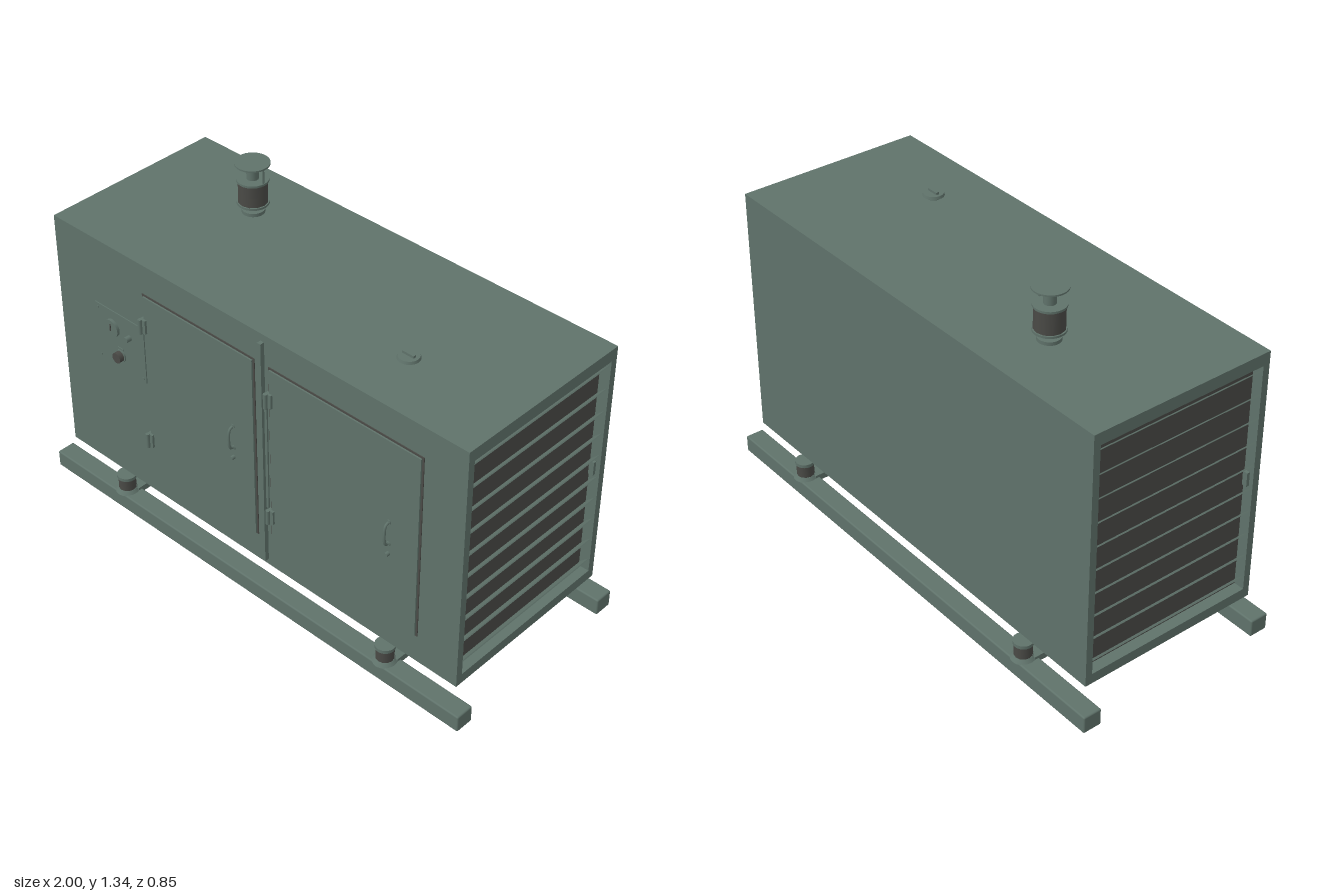
import * as THREE from 'three';
import { RoundedBoxGeometry } from 'three/addons/geometries/RoundedBoxGeometry.js';

export function createModel() {
  const model = new THREE.Group();
  model.name = 'generator';
  const mat = (name, color) => {
    const m = new THREE.MeshStandardMaterial({ color });
    m.name = name;
    return m;
  };
  const green = mat('greenPaint', 0x5f726a);
  const dark = mat('darkMetal', 0x4a4a46);

  const add = (name, geo, m, x, y, z, parent = model) => {
    const mesh = new THREE.Mesh(geo, m);
    mesh.name = name;
    mesh.position.set(x, y, z);
    parent.add(mesh);
    return mesh;
  };
  const box = (name, m, x0, x1, y0, y1, z0, z1, parent) =>
    add(name, new THREE.BoxGeometry(x1 - x0, y1 - y0, z1 - z0), m,
      (x0 + x1) / 2, (y0 + y1) / 2, (z0 + z1) / 2, parent);
  // Upright cylinder between two heights
  const post = (name, m, r, x, y0, y1, z, sides = 20, rTop = r) =>
    add(name, new THREE.CylinderGeometry(rTop, r, y1 - y0, sides), m, x, (y0 + y1) / 2, z);
  // Cylinder facing the front
  const dial = (name, m, r, x, y, z0, z1, sides = 20) => {
    const d = add(name, new THREE.CylinderGeometry(r, r, z1 - z0, sides), m, x, y, (z0 + z1) / 2);
    d.rotation.x = Math.PI / 2;
    return d;
  };

  // Housing: a sleeve running along x, open at both ends
  const half = 0.947, front = 0.367;
  const outline = new THREE.Shape();
  outline.moveTo(-front, 0.14).lineTo(front, 0.14).lineTo(front, 1.137).lineTo(-front, 1.137).closePath();
  const opening = new THREE.Path();
  opening.moveTo(-0.34, 0.18).lineTo(-0.34, 1.09).lineTo(0.34, 1.09).lineTo(0.34, 0.18).closePath();
  outline.holes.push(opening);
  const sleeve = new THREE.ExtrudeGeometry(outline, { depth: half * 2, bevelEnabled: false });
  sleeve.translate(0, 0, -half).rotateY(Math.PI / 2);
  add('housing', sleeve, green, 0, 0, 0);

  // Louvred ends
  for (const s of [-1, 1]) {
    const end = new THREE.Group();
    end.name = 'louvres';
    model.add(end);
    add('radiatorPanel', new THREE.BoxGeometry(0.01, 0.91, 0.68), dark, s * 0.9, 0.635, 0, end);
    for (let i = 0; i < 10; i++) {
      const slat = add('slat', new THREE.BoxGeometry(0.004, 0.044, 0.68), green,
        s * 0.926, 0.216 + i * 0.0932, 0, end);
      slat.rotation.z = -s * 0.78;
    }
    for (const t of [-1, 1])
      add('louvreTab', new THREE.BoxGeometry(0.02, 0.055, 0.012), green, s * 0.92, 0.637, t * 0.334, end);
  }

  // Skids, cross members and rubber mounts
  for (const s of [-1, 1]) {
    add('skid', new RoundedBoxGeometry(2, 0.068, 0.074, 2, 0.006), green, 0, 0.034, s * 0.378);
    const cx = s * 0.645;
    box('crossMember', green, cx - 0.04, cx + 0.04, 0.053, 0.078, -0.36, 0.36);
    for (const z of [-0.378, 0.378]) {
      post('mountPad', green, 0.046, cx, 0.066, 0.08, z, 20, 0.034);
      post('mount', dark, 0.033, cx, 0.08, 0.13, z, 12);
      post('mountCap', green, 0.037, cx, 0.128, 0.141, z);
    }
  }

  // Doors with seal, hinges, handle and lock
  const door = (x0, x1, handleX) => {
    box('doorSeal', dark, x0, x1, 0.255, 1.02, front - 0.005, front + 0.003);
    box('door', green, x0 + 0.007, x1 - 0.007, 0.262, 1.013, front, 0.376);
    for (const y of [0.387, 0.892]) {
      box('hingeLeaf', green, x0 - 0.005, x0 + 0.022, y - 0.028, y + 0.028, front, 0.385);
      const pin = post('hingePin', green, 0.008, x0 + 0.002, y - 0.03, y + 0.03, 0.389, 10);
      pin.name = 'hingePin';
    }
    const grip = new THREE.CatmullRomCurve3([
      [0.592, 0.372], [0.597, 0.39], [0.61, 0.396], [0.667, 0.396], [0.68, 0.39], [0.685, 0.372],
    ].map(([y, z]) => new THREE.Vector3(handleX, y, z)));
    add('handle', new THREE.TubeGeometry(grip, 20, 0.005, 8), green, 0, 0, 0);
    for (const y of [0.592, 0.685]) dial('handleFoot', green, 0.009, handleX, y, 0.374, 0.38, 12);
    dial('lock', green, 0.008, handleX, 0.55, 0.374, 0.39, 12);
  };
  door(-0.5, 0.04, -0.065);
  door(0.105, 0.775, 0.645);
  box('doorDivider', green, 0.069, 0.085, 0.165, 1.108, front - 0.005, 0.384);
  box('dividerLip', green, 0.085, 0.096, 0.41, 0.865, front - 0.005, 0.373);

  // Control panel
  box('controlPanel', green, -0.755, -0.505, 0.63, 0.866, front - 0.005, 0.371);
  dial('gauge', green, 0.035, -0.667, 0.795, 0.368, 0.382, 28);
  box('gaugeNeedle', dark, -0.669, -0.665, 0.787, 0.815, 0.38, 0.385);
  dial('button', green, 0.011, -0.58, 0.792, 0.368, 0.392, 16);
  dial('knobBase', green, 0.025, -0.632, 0.69, 0.368, 0.377, 24);
  dial('knob', dark, 0.021, -0.632, 0.69, 0.376, 0.396, 12);
  box('knobLabel', green, -0.646, -0.618, 0.715, 0.723, 0.37, 0.374);
  for (const x of [-0.74, -0.52])
    for (const y of [0.645, 0.851]) dial('panelBolt', green, 0.005, x, y, 0.37, 0.374, 8);

  // Exhaust stack with rain cap
  const ex = -0.46, ez = -0.132;
  post('exhaustFlange', green, 0.042, ex, 1.135, 1.15, ez, 28);
  post('exhaustNeck', green, 0.023, ex, 1.148, 1.178, ez);
  post('mufflerBase', green, 0.058, ex, 1.173, 1.181, ez, 28);
  post('muffler', dark, 0.054, ex, 1.18, 1.265, ez, 12);
  post('mufflerTop', green, 0.058, ex, 1.264, 1.272, ez, 28);
  post('exhaustPipe', green, 0.022, ex, 1.27, 1.316, ez);
  post('rainCap', green, 0.063, ex, 1.33, 1.336, ez, 32);
  post('rainCapRod', green, 0.004, ex + 0.052, 1.27, 1.332, ez, 8);

  // Filler cap
  const fx = 0.51, fz = 0.145;
  post('fillerNeck', green, 0.028, fx, 1.135, 1.148, fz);
  post('fillerCap', green, 0.04, fx, 1.146, 1.156, fz, 28, 0.037);
  box('fillerGrip', green, fx - 0.024, fx + 0.024, 1.155, 1.165, fz - 0.006, fz + 0.006);

  return model;
}
